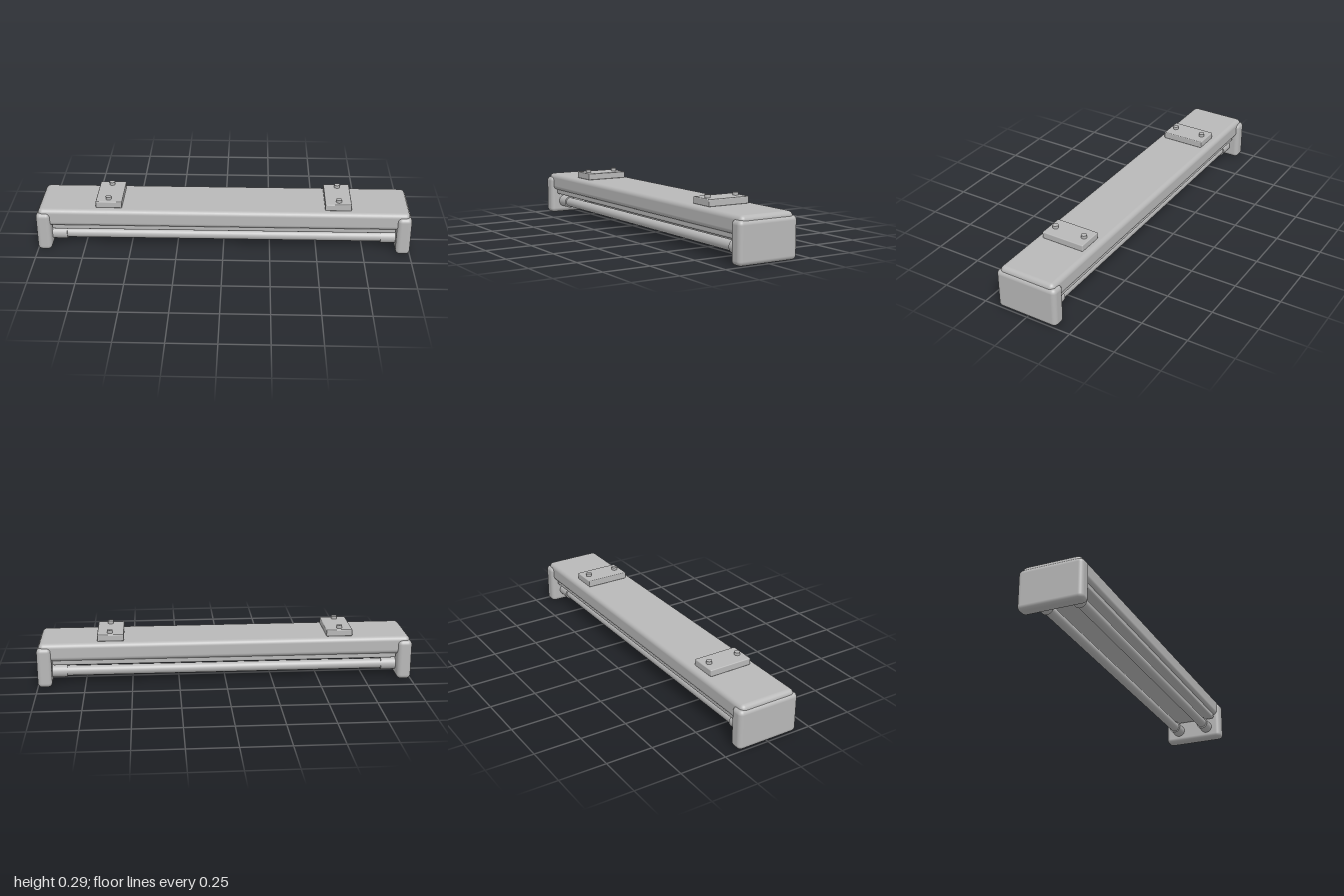
import * as THREE from 'three';
import { RoundedBoxGeometry } from 'three/addons/geometries/RoundedBoxGeometry.js';

export function createModel() {
  const model = new THREE.Group();
  model.name = 'twinTubeLight';
  const grey = new THREE.MeshStandardMaterial({ color: 0xb8b8b8 });
  grey.name = 'grey';

  const add = (name, geometry, x, y, z) => {
    const mesh = new THREE.Mesh(geometry, grey);
    mesh.name = name;
    mesh.position.set(x, y, z);
    model.add(mesh);
    return mesh;
  };
  // Rounded block given by its size and its bottom height
  const block = (name, w, h, d, r, x, y) =>
    add(name, new RoundedBoxGeometry(w, h, d, 4, r), x, y + h / 2, 0);
  // Cylinder lying along x
  const rod = (name, r, length, x, y, z) => {
    add(name, new THREE.CylinderGeometry(r, r, length, 32), x, y, z).rotation.z = Math.PI / 2;
  };

  // Long housing with the reflector plate under it
  block('housing', 1.98, 0.097, 0.314, 0.025, 0, 0.14);
  block('reflector', 1.84, 0.035, 0.28, 0.01, 0, 0.114);

  // Two lamp tubes side by side
  for (const z of [-0.088, 0.088]) rod('lampTube', 0.027, 1.84, 0, 0.068, z);

  for (const side of [-1, 1]) {
    // End cap and the tube sockets on its inner face
    block('endCap', 0.076, 0.217, 0.344, 0.024, side * 0.962, 0);
    for (const z of [-0.088, 0.088]) rod('tubeSocket', 0.034, 0.09, side * 0.89, 0.068, z);

    // Mounting bracket with two bolts
    block('mountingBracket', 0.14, 0.037, 0.24, 0.005, side * 0.611, 0.236);
    for (const z of [-0.085, 0.085]) {
      add('bolt', new THREE.CylinderGeometry(0.015, 0.015, 0.03, 24), side * 0.614, 0.274, z);
    }
  }
  return model;
}
